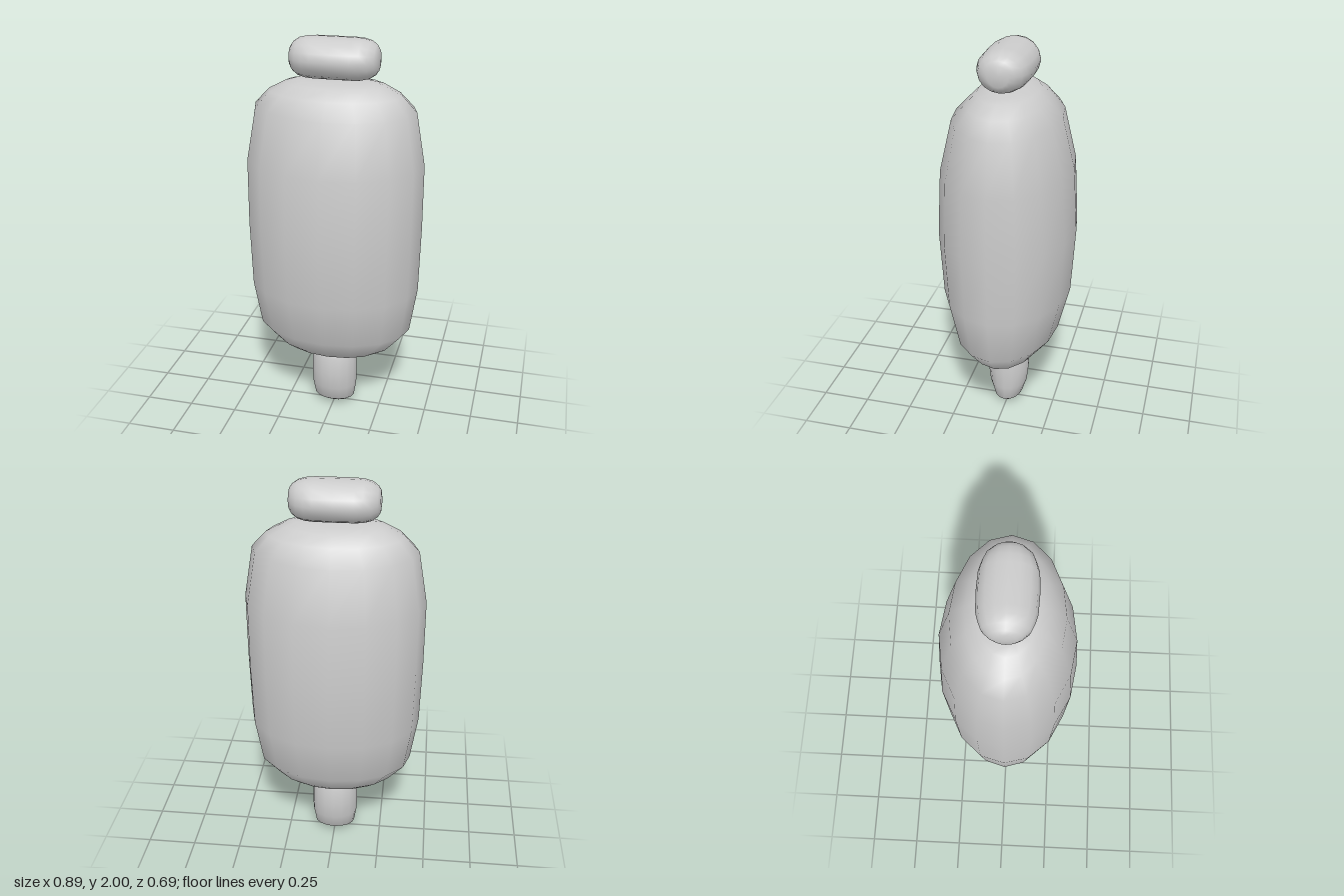
import * as THREE from 'three';

const SIDES = 16;

// Closed smooth loft of elliptical rings [y, halfX, halfZ] between two end poles.
function loft(bottom, rings, top) {
  const pos = [0, bottom, 0];
  const index = [];
  for (const [y, a, b] of rings) {
    for (let i = 0; i < SIDES; i++) {
      const t = (i / SIDES) * Math.PI * 2;
      pos.push(a * Math.cos(t), y, b * Math.sin(t));
    }
  }
  pos.push(0, top, 0);
  const last = pos.length / 3 - 1;
  const at = (j, i) => 1 + j * SIDES + (i % SIDES);
  for (let i = 0; i < SIDES; i++) {
    index.push(0, at(0, i), at(0, i + 1));
    for (let j = 0; j < rings.length - 1; j++) {
      index.push(at(j, i), at(j + 1, i), at(j, i + 1));
      index.push(at(j + 1, i), at(j + 1, i + 1), at(j, i + 1));
    }
    const j = rings.length - 1;
    index.push(at(j, i), last, at(j, i + 1));
  }
  const geo = new THREE.BufferGeometry();
  geo.setAttribute('position', new THREE.Float32BufferAttribute(pos, 3));
  geo.setIndex(index);
  geo.computeVertexNormals();
  return geo;
}

export function createModel() {
  const group = new THREE.Group();
  const material = new THREE.MeshStandardMaterial({ color: 0xcccccc });
  const add = (name, geo) => {
    const mesh = new THREE.Mesh(geo, material);
    mesh.name = name;
    group.add(mesh);
    return mesh;
  };

  // Large rounded body
  add('body', loft(0.33, [
    [0.337, 0.2, 0.09],
    [0.355, 0.26, 0.155],
    [0.385, 0.31, 0.185],
    [0.49, 0.4, 0.265],
    [0.73, 0.437, 0.325],
    [1.07, 0.445, 0.345],
    [1.4, 0.445, 0.325],
    [1.66, 0.4, 0.262],
    [1.735, 0.33, 0.19],
    [1.78, 0.245, 0.145],
    [1.793, 0.2, 0.08],
  ], 1.8));

  // Short rounded stem below the body
  add('stem', loft(0, [
    [0.01, 0.07, 0.035],
    [0.04, 0.107, 0.075],
    [0.12, 0.12, 0.1],
    [0.21, 0.122, 0.11],
    [0.3, 0.12, 0.1],
    [0.38, 0.107, 0.075],
  ], 0.42));

  // Rounded bar lying sideways on top: half profile mirrored along its length
  const half = [
    [0.095, 0.1, 0.131],
    [0.135, 0.098, 0.12],
    [0.172, 0.089, 0.105],
    [0.2, 0.07, 0.075],
    [0.213, 0.05, 0.05],
  ];
  const rings = [
    ...half.map(([x, a, b]) => [-x, a, b]).reverse(),
    [0, 0.1, 0.135],
    ...half,
  ];
  const bar = add('topBar', loft(-0.218, rings, 0.218).rotateZ(-Math.PI / 2));
  bar.position.y = 1.9;

  return group;
}
